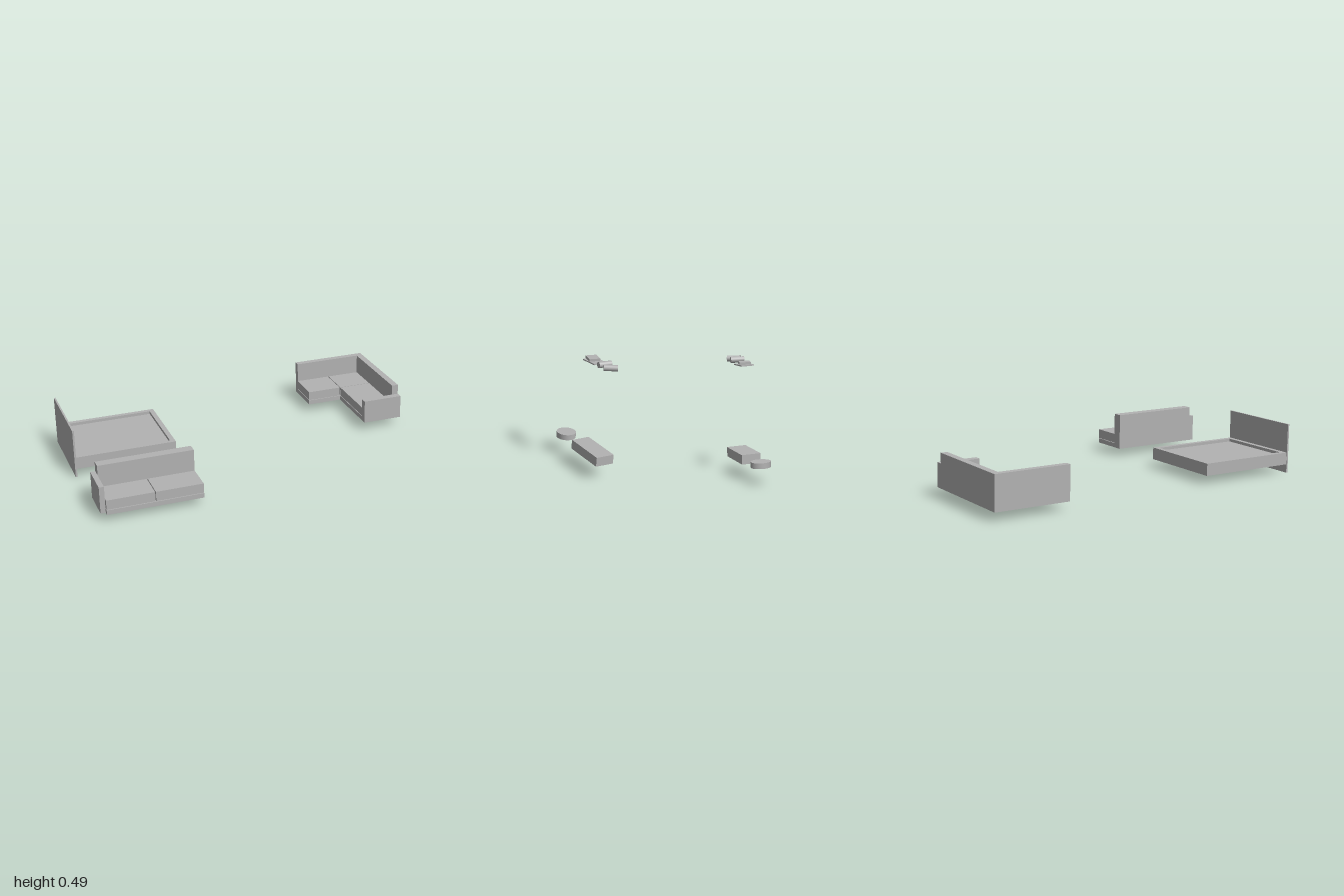
import * as THREE from 'three';

const grey = new THREE.MeshStandardMaterial({ color: 0xb2b2b2 });
grey.name = 'plain grey';

// Box given by its minimum and maximum corners
function box(parent, name, [x0, y0, z0], [x1, y1, z1]) {
  const mesh = new THREE.Mesh(new THREE.BoxGeometry(x1 - x0, y1 - y0, z1 - z0), grey);
  mesh.position.set((x0 + x1) / 2, (y0 + y1) / 2, (z0 + z1) / 2);
  mesh.name = name;
  parent.add(mesh);
  return mesh;
}

function group(parent, name) {
  const g = new THREE.Group();
  g.name = name;
  parent.add(g);
  return g;
}

// Bed: headboard, rimmed frame and a slightly sunken mattress
function addBed(parent) {
  const bed = group(parent, 'bed');
  const x0 = -0.993, x1 = -0.577, z0 = -0.56, z1 = -0.2, rim = 0.02;
  box(bed, 'headboard', [-1, 0, -0.562], [x0, 0.204, -0.197]);
  const outline = new THREE.Shape([
    new THREE.Vector2(x0, -z1), new THREE.Vector2(x1, -z1),
    new THREE.Vector2(x1, -z0), new THREE.Vector2(x0, -z0),
  ]);
  outline.holes.push(new THREE.Path([
    new THREE.Vector2(x0 + rim, -z1 - rim), new THREE.Vector2(x0 + rim, -z0 + -rim),
    new THREE.Vector2(x1 - rim, -z0 - rim), new THREE.Vector2(x1 - rim, -z1 + rim),
  ].map((p, i) => (i === 0 || i === 3 ? new THREE.Vector2(p.x, -z1 + rim) : p))));
  const frame = new THREE.Mesh(
    new THREE.ExtrudeGeometry(outline, { depth: 0.05, bevelEnabled: false }), grey);
  frame.rotation.x = -Math.PI / 2;
  frame.position.y = 0.035;
  frame.name = 'bedFrame';
  bed.add(frame);
  box(bed, 'mattress', [x0 + rim, 0.035, z0 + rim], [x1 - rim, 0.073, z1 - rim]);
}

// Two-seat sofa with a single arm
function addSofa(parent) {
  const sofa = group(parent, 'sofa');
  box(sofa, 'back', [-0.97, 0.03, 0.06], [-0.587, 0.18, 0.1]);
  box(sofa, 'arm', [-0.99, 0.03, 0.06], [-0.97, 0.14, 0.203]);
  box(sofa, 'seatBase', [-0.97, 0.03, 0.1], [-0.587, 0.049, 0.222]);
  box(sofa, 'leftCushion', [-0.777, 0.051, 0.1], [-0.587, 0.09, 0.221]);
  box(sofa, 'rightCushion', [-0.97, 0.051, 0.1], [-0.78, 0.09, 0.221]);
}

// L-shaped sofa
function addCornerSofa(parent) {
  const sofa = group(parent, 'cornerSofa');
  box(sofa, 'back', [0.115, 0.035, -0.626], [0.435, 0.176, -0.6]);
  box(sofa, 'sideBack', [0.407, 0.035, -0.6], [0.435, 0.176, -0.211]);
  box(sofa, 'arm', [0.265, 0.035, -0.211], [0.435, 0.134, -0.182]);
  box(sofa, 'shortBase', [0.115, 0.035, -0.6], [0.265, 0.054, -0.458]);
  box(sofa, 'longBase', [0.265, 0.035, -0.6], [0.407, 0.054, -0.211]);
  box(sofa, 'endCushion', [0.115, 0.056, -0.6], [0.263, 0.094, -0.458]);
  box(sofa, 'cornerCushion', [0.266, 0.056, -0.6], [0.407, 0.094, -0.459]);
  box(sofa, 'longCushion', [0.266, 0.056, -0.456], [0.407, 0.094, -0.213]);
}

// Low table and round stool
function addTables(parent) {
  box(parent, 'lowTable', [0.921, 0.067, 0.438], [1, 0.106, 0.622]);
  const stool = new THREE.Mesh(new THREE.CylinderGeometry(0.04, 0.04, 0.023, 32), grey);
  stool.position.set(0.957, 0.084, 0.337);
  stool.name = 'roundStool';
  parent.add(stool);
}

// Small objects: two thin books and two rolls
function addSmallObjects(parent) {
  const items = group(parent, 'smallObjects');
  const lower = box(items, 'lowerBook', [0.934, 0.463, 0.452], [0.988, 0.468, 0.518]);
  lower.rotation.y = 0.15;
  const upper = box(items, 'upperBook', [0.938, 0.469, 0.455], [0.983, 0.479, 0.499]);
  upper.rotation.y = -0.2;
  for (const [z, turn] of [[0.558, -0.12], [0.6, -0.5]]) {
    const roll = new THREE.Mesh(new THREE.CylinderGeometry(0.0125, 0.0125, 0.054, 16), grey);
    roll.rotation.set(0, turn, Math.PI / 2, 'YXZ');
    roll.position.set(0.963, 0.477, z);
    roll.name = 'roll';
    items.add(roll);
  }
}

export function createModel() {
  const model = new THREE.Group();
  model.name = 'furnitureSet';
  addBed(model);
  addSofa(model);
  addCornerSofa(model);
  addTables(model);
  addSmallObjects(model);
  return model;
}
